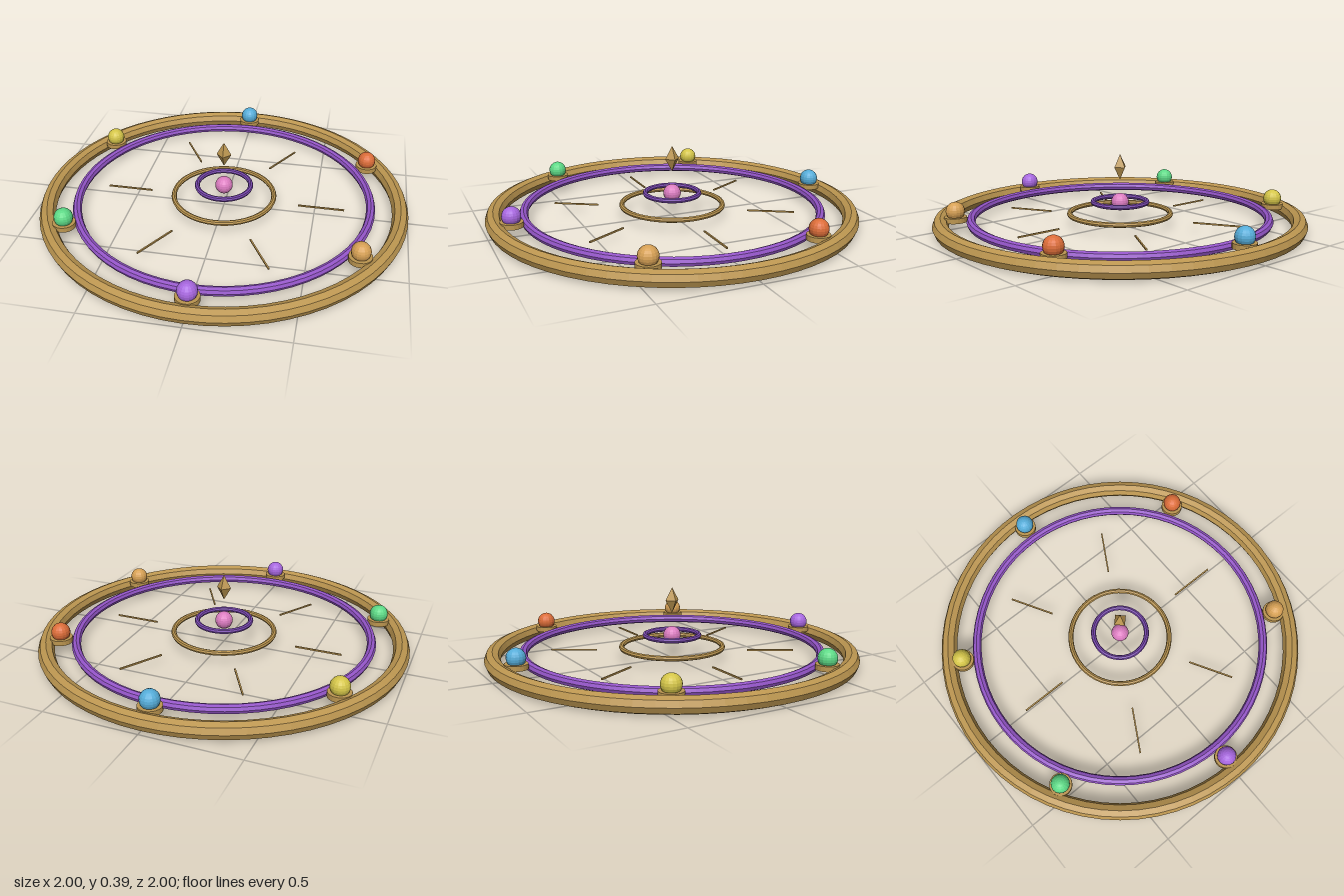
import * as THREE from 'three';

function material(name, color, flat = true) {
  const m = new THREE.MeshStandardMaterial({ color });
  m.name = name;
  m.flatShading = flat;
  return m;
}

export function createModel() {
  const group = new THREE.Group();
  const gold = material('gold', 0xbc9650);
  const violet = material('violet', 0x9455c8);
  const darkViolet = material('deep violet', 0x7a48b0);
  const pink = material('pink', 0xdb7cc0);

  function add(name, geometry, mat, x, y, z) {
    const mesh = new THREE.Mesh(geometry, mat);
    mesh.name = name;
    mesh.position.set(x, y, z);
    group.add(mesh);
    return mesh;
  }

  // Horizontal rings
  function ring(name, radius, tube, y, mat, segments) {
    const g = new THREE.TorusGeometry(radius, tube, 8, segments);
    g.rotateX(Math.PI / 2);
    add(name, g, mat, 0, y, 0);
  }
  ring('outerRing', 0.957, 0.043, 0.043, gold, 64);
  ring('middleRing', 0.8, 0.024, 0.054, violet, 64);
  ring('innerRing', 0.275, 0.014, 0.065, gold, 48);
  ring('coreRing', 0.146, 0.014, 0.128, darkViolet, 40);

  // Gems in round sockets, starting at the front
  const gems = [
    ['purple', 0xa666de],
    ['amber', 0xd6a054],
    ['orange', 0xdb6c38],
    ['blue', 0x55acd8],
    ['yellow', 0xd4c548],
    ['green', 0x5cd885],
  ];
  const gemGeometry = new THREE.SphereGeometry(0.05, 16, 12);
  const socketGeometry = new THREE.CylinderGeometry(0.06, 0.06, 0.027, 20);
  gems.forEach(([name, color], i) => {
    const a = (i * Math.PI) / 3;
    const x = 0.878 * Math.sin(a);
    const z = 0.878 * Math.cos(a);
    add(name + 'GemSocket', socketGeometry, gold, x, 0.07, z);
    add(name + 'Gem', gemGeometry, material(name, color), x, 0.112, z);
  });

  // Thin radial rods
  const rodGeometry = new THREE.BoxGeometry(0.25, 0.008, 0.008);
  for (let i = 0; i < 6; i++) {
    const a = (i * Math.PI) / 3;
    const rod = add('radialRod', rodGeometry, gold, 0.536 * Math.cos(a), 0.043, -0.536 * Math.sin(a));
    rod.rotation.y = a;
  }

  // Central orb and floating crystal
  add('coreOrb', new THREE.SphereGeometry(0.048, 16, 12), pink, 0, 0.128, 0);
  const crystal = new THREE.OctahedronGeometry(1);
  crystal.scale(0.04, 0.07, 0.04);
  add('crystal', crystal, gold, 0, 0.32, 0);

  return group;
}
